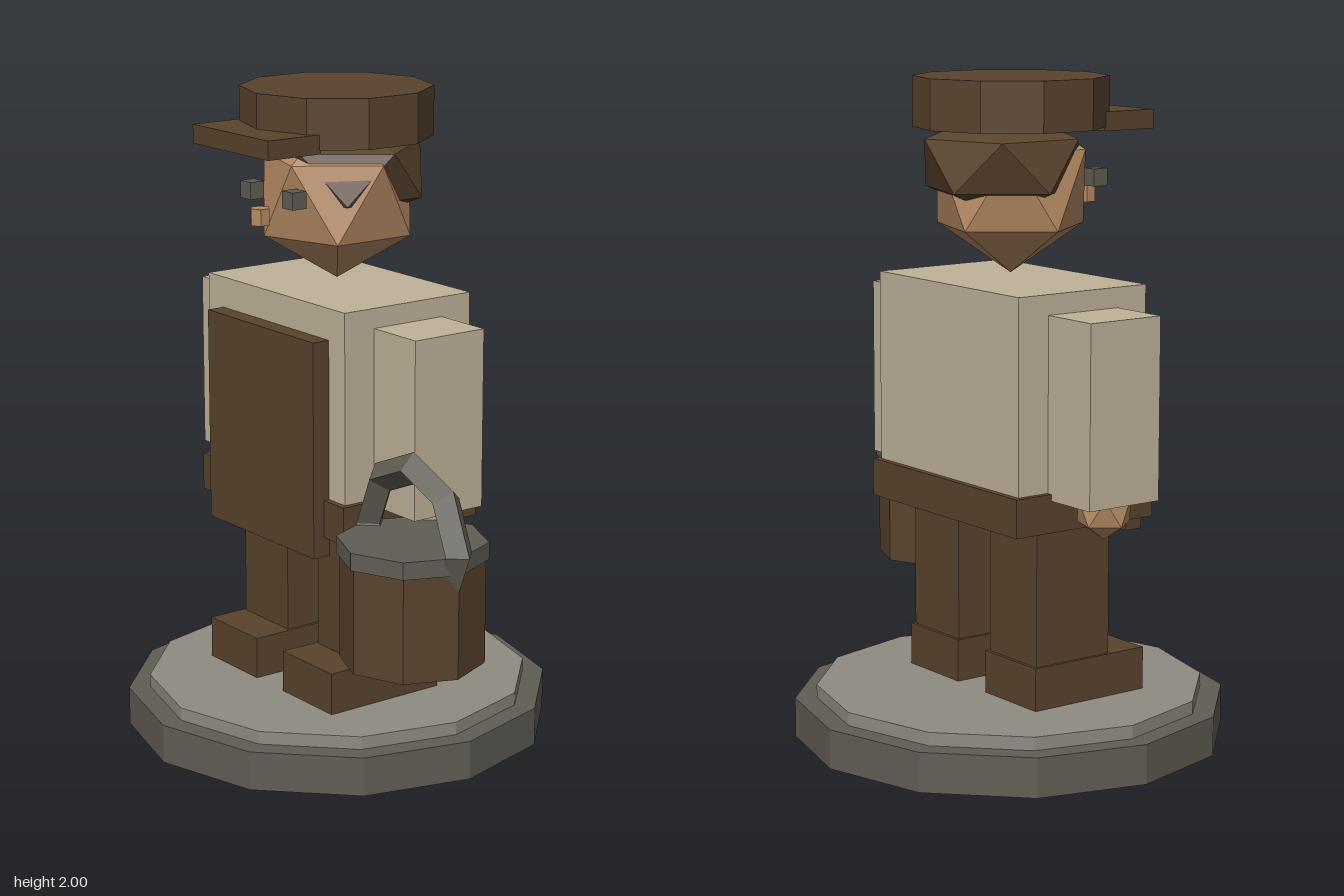
import * as THREE from 'three';

const mat = (name, color) => {
  const m = new THREE.MeshStandardMaterial({ color });
  m.name = name;
  m.flatShading = true;
  return m;
};

export function createModel() {
  const brown = mat('brown', 0x5a432d);
  const cream = mat('cream', 0xbfb299);
  const skin = mat('skin', 0xb58a63);
  const stone = mat('stone', 0x8f8b82);
  const iron = mat('iron', 0x605d54);

  const group = new THREE.Group();
  group.name = 'figure';
  const CX = -0.113; // the figure's own centre line

  const add = (name, geo, material, x, y, z) => {
    const mesh = new THREE.Mesh(geo, material);
    mesh.name = name;
    mesh.position.set(x, y, z);
    group.add(mesh);
    return mesh;
  };
  // Box from its bottom and top heights and its back and front depths
  const box = (name, material, x, w, y0, y1, z0, z1) =>
    add(name, new THREE.BoxGeometry(w, y1 - y0, z1 - z0), material, x, (y0 + y1) / 2, (z0 + z1) / 2);
  const drum = (name, material, x, z, r, y0, y1, sides) =>
    add(name, new THREE.CylinderGeometry(r, r, y1 - y0, sides), material, x, (y0 + y1) / 2, z);

  // Icosahedron with its poles on the y axis; the upper ring has a corner at +x
  const ball = (rx, ry, rz) => {
    const pts = [0, 1, 0];
    for (const [y, offset] of [[1, 0], [-1, Math.PI / 5]]) {
      for (let i = 0; i < 5; i++) {
        const a = offset + i * Math.PI * 0.4;
        pts.push(2 * Math.cos(a) / Math.sqrt(5), y / Math.sqrt(5), 2 * Math.sin(a) / Math.sqrt(5));
      }
    }
    pts.push(0, -1, 0);
    const faces = [];
    for (let i = 0; i < 5; i++) {
      const u = 1 + i, v = 1 + (i + 1) % 5, l = 6 + i, m = 6 + (i + 1) % 5;
      faces.push(0, v, u, u, v, l, v, m, l, l, m, 11);
    }
    return new THREE.PolyhedronGeometry(pts, faces, 1, 0).scale(rx, ry, rz);
  };

  // Plinth
  drum('baseLower', iron, CX, 0, 0.658, 0, 0.12, 12);
  drum('baseUpper', stone, CX, 0, 0.592, 0.12, 0.16, 12);

  // Limbs, mirrored about the centre line
  for (const [side, s] of [['left', 1], ['right', -1]]) {
    box(side + 'Boot', brown, CX + s * 0.195, 0.25, 0.16, 0.29, -0.145, 0.262);
    box(side + 'Leg', brown, CX + s * 0.195, 0.23, 0.29, 0.72, -0.135, 0.135);
    box(side + 'Arm', cream, CX + s * 0.448, 0.194, 0.8, 1.34, -0.127, 0.127);
    add(side + 'Hand', ball(0.09, 0.09, 0.09), skin, CX + s * 0.452, 0.775, 0);
    box(side + 'Eye', iron, CX + s * 0.107, 0.052, 1.67, 1.722, 0.21, 0.26);
  }

  // Body
  box('belt', brown, CX, 0.735, 0.705, 0.82, -0.252, 0.252);
  box('torso', cream, CX, 0.7, 0.8, 1.4, -0.233, 0.233);
  box('apron', brown, CX, 0.544, 0.645, 1.305, 0.23, 0.29);

  // Head
  add('head', ball(0.257, 0.257, 0.257), skin, CX, 1.673, 0);
  add('hair', ball(0.266, 0.168, 0.264), brown, CX, 1.745, -0.035);
  drum('nose', skin, CX, 0.283, 0.031, 1.611, 1.661, 6);

  // Cap
  drum('cap', brown, CX, 0, 0.291, 1.85, 2, 10);
  box('capBrim', brown, CX, 0.386, 1.838, 1.895, 0.2, 0.387);

  // Pail
  drum('pail', brown, 0.507, 0.193, 0.213, 0.413, 0.73, 8);
  drum('pailLid', iron, 0.507, 0.193, 0.222, 0.728, 0.78, 8);
  add('pailHandle', new THREE.TorusGeometry(0.207, 0.048, 4, 8), iron, 0.511, 0.785, 0.193);

  return group;
}
